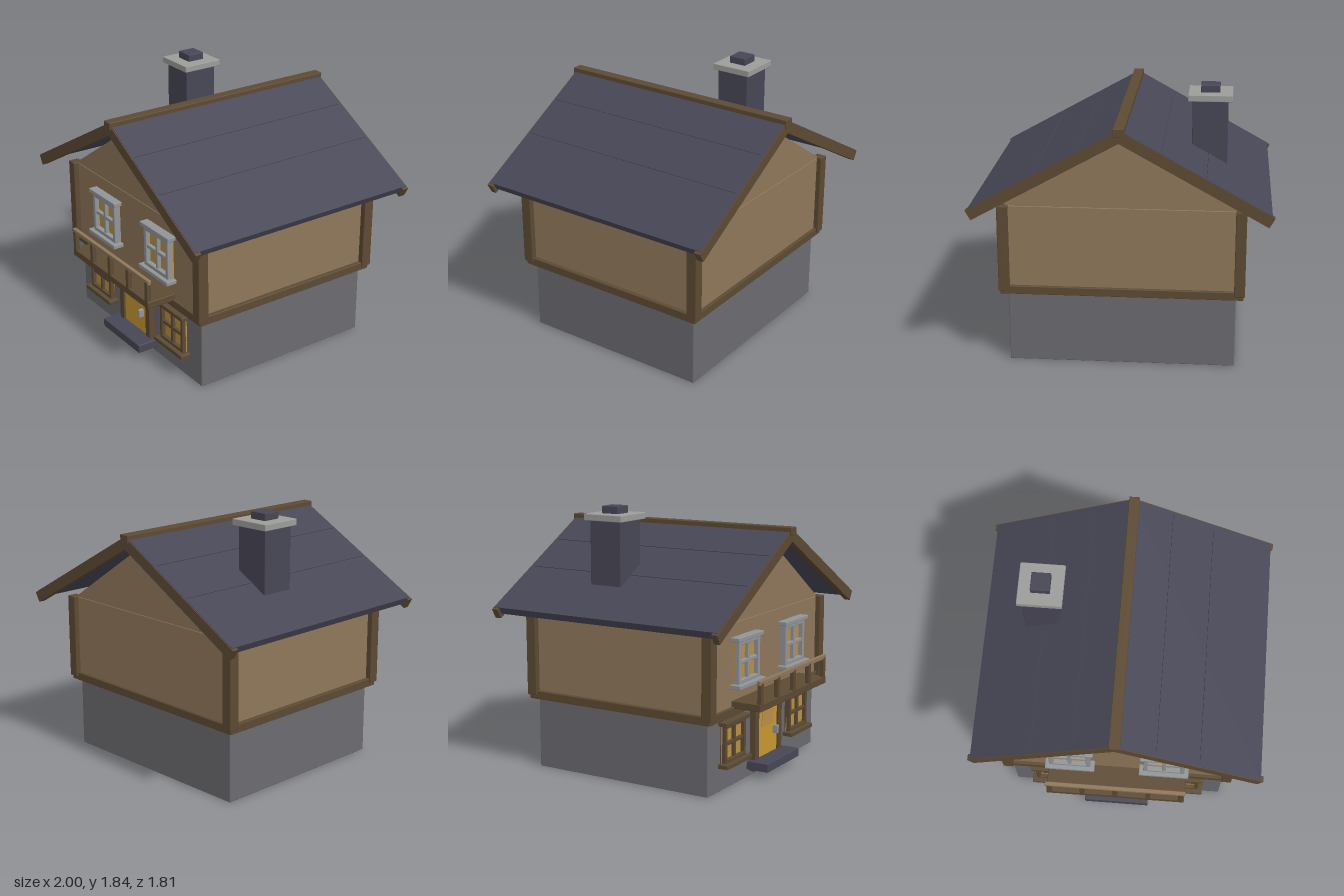
import * as THREE from 'three';
import { RoundedBoxGeometry } from 'three/addons/geometries/RoundedBoxGeometry.js';

function material(name, color) {
  const m = new THREE.MeshStandardMaterial({ color });
  m.name = name;
  return m;
}

export function createModel() {
  const stone = material('stone', 0x6b6b70);
  const plaster = material('tan boarding', 0x8f775a);
  const wood = material('dark timber', 0x5c4a33);
  const slate = material('slate', 0x474655);
  const capStone = material('pale stone', 0x9c9c99);
  const trim = material('grey trim', 0x929598);
  const glass = material('lit glass', 0xb89042);
  const doorPaint = material('door yellow', 0xc8982f);

  const house = new THREE.Group();
  house.name = 'house';

  function add(name, geometry, mat, parent = house) {
    const mesh = new THREE.Mesh(geometry, mat);
    mesh.name = name;
    parent.add(mesh);
    return mesh;
  }

  // Softly bevelled box given by its limits; thin plates stay square
  function box(name, mat, [x0, x1], [y0, y1], [z0, z1], parent = house) {
    const w = x1 - x0, h = y1 - y0, d = z1 - z0;
    const geometry = Math.min(w, h, d) < 0.02
      ? new THREE.BoxGeometry(w, h, d)
      : new RoundedBoxGeometry(w, h, d, 1, 0.005);
    const mesh = add(name, geometry, mat, parent);
    mesh.position.set((x0 + x1) / 2, (y0 + y1) / 2, (z0 + z1) / 2);
    return mesh;
  }

  // Outline in x/y drawn out from z0 to z1
  function prism(name, mat, points, z0, z1) {
    const shape = new THREE.Shape(points.map(([x, y]) => new THREE.Vector2(x, y)));
    const geometry = new THREE.ExtrudeGeometry(shape, { depth: z1 - z0, bevelEnabled: false });
    add(name, geometry, mat).position.z = z0;
  }

  // Walls
  box('stoneBase', stone, [-0.765, 0.765], [0, 0.5], [-0.69, 0.668]);
  box('floorBand', wood, [-0.815, 0.815], [0.495, 0.553], [-0.732, 0.712]);
  box('upperWalls', plaster, [-0.785, 0.785], [0.54, 1.113], [-0.71, 0.69]);
  prism('gable', plaster, [[-0.78, 1.11], [0.78, 1.11], [0, 1.625]], -0.706, 0.686);
  for (const s of [-1, 1]) {
    for (const z of [-0.708, 0.69]) {
      const x = s * 0.788;
      box('cornerPost', wood, [x - 0.036, x + 0.036], [0.522, 1.117], [z - 0.038, z + 0.038]);
    }
  }

  // Roof: slabs, bargeboards, course lines and ridge
  const chevron = (xTop, yTop, apexTop, xLow, yLow, apexLow) =>
    [[-xLow, yLow], [0, apexLow], [xLow, yLow], [xTop, yTop], [0, apexTop], [-xTop, yTop]];
  prism('roofSlabs', slate, chevron(0.983, 1.147, 1.692, 0.96, 1.102, 1.634), -0.89, 0.862);
  const barge = chevron(1.0, 1.134, 1.689, 0.963, 1.07, 1.604);
  prism('frontBargeboard', wood, barge, 0.827, 0.869);
  prism('backBargeboard', wood, barge, -0.897, -0.85);
  for (const s of [-1, 1]) {
    for (const y of [1.54, 1.38]) {
      const x = s * (1.692 - y) / 0.5545;
      const strip = box('roofCourse', slate, [x - 0.006, x + 0.006], [y - 0.004, y + 0.004], [-0.865, 0.84]);
      strip.rotation.z = -s * 0.506;
    }
  }
  box('ridgeBeam', wood, [-0.037, 0.037], [1.647, 1.703], [-0.905, 0.881]);

  // Chimney
  box('chimneyStack', slate, [-0.684, -0.444], [1.1, 1.745], [-0.294, -0.052]);
  box('chimneyCap', capStone, [-0.713, -0.413], [1.745, 1.79], [-0.324, -0.026]);
  box('chimneyFlue', slate, [-0.627, -0.498], [1.785, 1.84], [-0.238, -0.11]);

  // Window with glass, frame, glazing bars, head and sill; z is the wall face
  function makeWindow(name, mat, x, y0, y1, z, half, rail, depths) {
    const g = new THREE.Group();
    g.name = name;
    g.position.set(x, 0, z);
    house.add(g);
    const [frame, head, sill] = depths;
    const mid = (y0 + y1) / 2;
    box('pane', glass, [-half, half], [y0, y1], [0.006, 0.015], g);
    for (const s of [-1, 1]) {
      const c = s * (half - rail / 2);
      box('frameSide', mat, [c - rail / 2, c + rail / 2], [y0, y1], [-0.01, frame], g);
      const r = s < 0 ? y0 : y1 - rail;
      box('frameRail', mat, [-half, half], [r, r + rail], [-0.01, frame], g);
    }
    box('uprightBar', mat, [-0.013, 0.013], [y0, y1], [0, frame - 0.006], g);
    box('crossBar', mat, [-half, half], [mid - 0.013, mid + 0.013], [0, frame - 0.008], g);
    box('head', mat, [-half - 0.025, half + 0.025], [y1 - 0.004, y1 + 0.026], [-0.01, head], g);
    box('sill', mat, [-half - 0.03, half + 0.03], [y0 - 0.026, y0 + 0.004], [-0.01, sill], g);
  }
  for (const s of [-1, 1]) {
    makeWindow('upperWindow', trim, s * 0.334, 0.7, 0.993, 0.69, 0.146, 0.03, [0.048, 0.062, 0.076]);
    makeWindow('lowerWindow', wood, s * 0.463, 0.188, 0.45, 0.668, 0.138, 0.026, [0.042, 0.063, 0.074]);
  }

  // Doorway and step
  for (const s of [-1, 1]) {
    const x = s * 0.168;
    box('doorJamb', wood, [x - 0.026, x + 0.026], [0.03, 0.515], [0.65, 0.713]);
  }
  box('doorHead', wood, [-0.194, 0.194], [0.51, 0.55], [0.65, 0.713]);
  box('doorFoot', wood, [-0.194, 0.194], [0.03, 0.08], [0.65, 0.712]);
  box('door', doorPaint, [-0.143, 0.143], [0.07, 0.512], [0.65, 0.7]);
  box('doorPane', glass, [-0.085, 0.085], [0.32, 0.44], [0.699, 0.704]);
  box('doorHandle', trim, [0.081, 0.105], [0.24, 0.3], [0.695, 0.737]);
  box('doorStep', slate, [-0.235, 0.235], [0.053, 0.113], [0.66, 0.829]);

  // Balcony
  box('balconyFloor', wood, [-0.492, 0.492], [0.542, 0.592], [0.68, 0.906]);
  box('balconyRail', plaster, [-0.495, 0.495], [0.718, 0.75], [0.876, 0.904]);
  for (let i = -2; i <= 2; i++) {
    const x = i * 0.234;
    box('balconyPost', wood, [x - 0.017, x + 0.017], [0.585, 0.732], [0.874, 0.907]);
  }

  return house;
}
